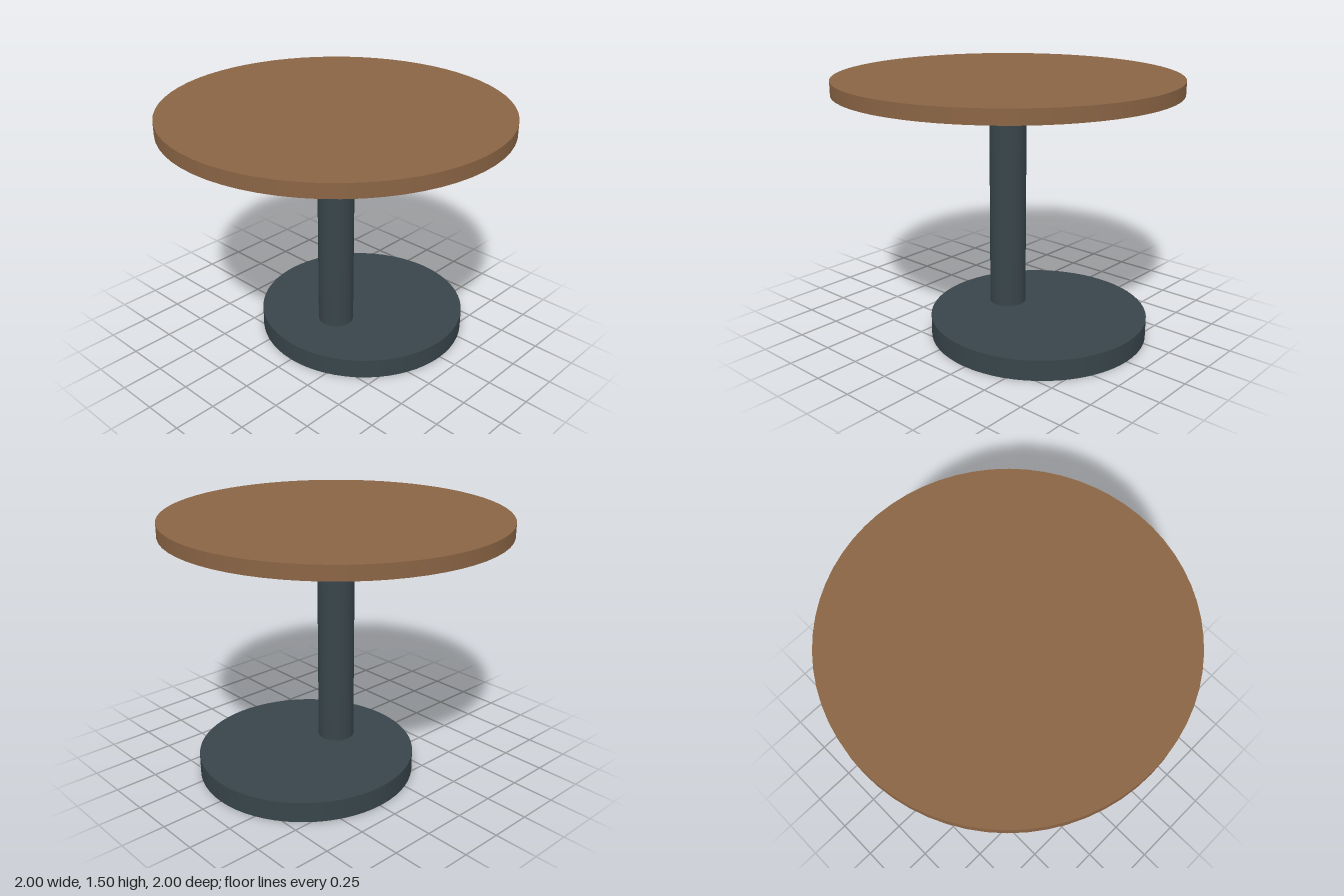
import * as THREE from 'three';

export function createModel() {
  const wood = new THREE.MeshStandardMaterial({ color: 0x8b6545 });
  wood.name = 'brown wood';
  const metal = new THREE.MeshStandardMaterial({ color: 0x38454b });
  metal.name = 'dark metal';

  const group = new THREE.Group();
  group.name = 'pedestalTable';

  // Upright disc between two heights
  function disc(name, radius, bottom, top, material, x = 0) {
    const geometry = new THREE.CylinderGeometry(radius, radius, top - bottom, 64);
    const mesh = new THREE.Mesh(geometry, material);
    mesh.name = name;
    mesh.position.set(x, (bottom + top) / 2, 0);
    group.add(mesh);
  }

  disc('tableTop', 1, 1.425, 1.505, wood);
  disc('mountingPlate', 0.36, 1.375, 1.425, metal);
  disc('column', 0.108, 0.12, 1.375, metal);
  // The base sits off-centre, towards +x
  disc('base', 0.638, 0, 0.12, metal, 0.243);

  return group;
}
